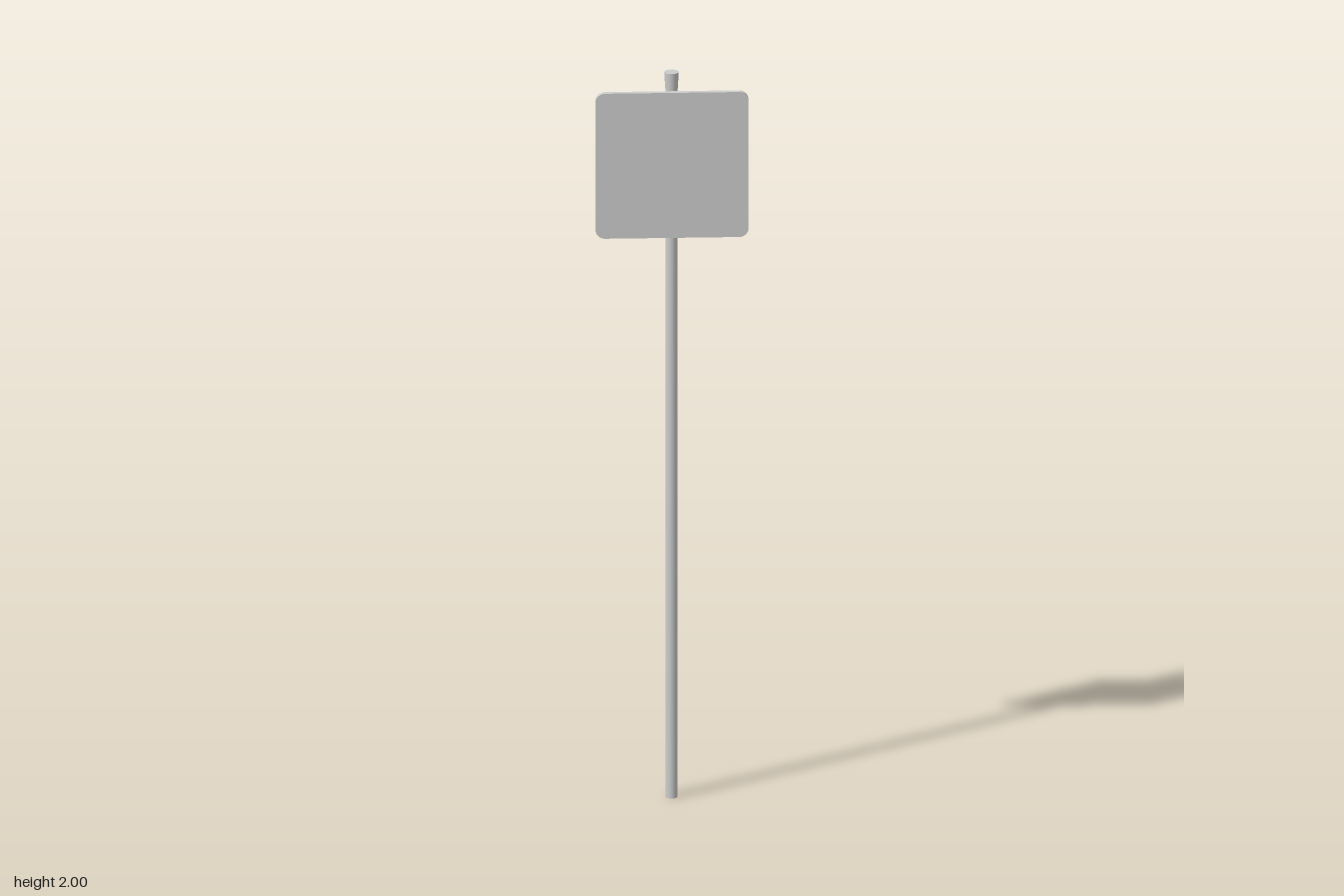
import * as THREE from 'three';

const POLE_Z = -0.011;
const POLE_R = 0.016;
const PLATE_BACK = 0.014;
const grey = new THREE.MeshStandardMaterial({ color: 0xcccccc });

function add(parent, name, geometry, x = 0, y = 0, z = 0) {
  const mesh = new THREE.Mesh(geometry, grey);
  mesh.name = name;
  mesh.position.set(x, y, z);
  parent.add(mesh);
  return mesh;
}

// Square with rounded corners, centred on the origin
function roundedSquare(half, r) {
  const s = new THREE.Shape();
  const c = half - r;
  s.absarc(c, c, r, 0, Math.PI / 2);
  s.absarc(-c, c, r, Math.PI / 2, Math.PI);
  s.absarc(-c, -c, r, Math.PI, Math.PI * 1.5);
  s.absarc(c, -c, r, Math.PI * 1.5, Math.PI * 2);
  s.closePath();
  return s;
}

// Strap seen from above: a band round the back of the pole, with legs
// splaying out to the plate. Shape y is world -z.
function strapShape() {
  const outer = 0.0188, inner = POLE_R - 0.0005;
  const a = -0.35; // angle where the legs leave the pole
  const s = new THREE.Shape();
  s.moveTo(0.03, -PLATE_BACK);
  s.absarc(0, -POLE_Z, outer, a, Math.PI - a, false);
  s.lineTo(-0.03, -PLATE_BACK);
  s.lineTo(-0.0265, -PLATE_BACK);
  s.absarc(0, -POLE_Z, inner, Math.PI - a, a, true);
  s.lineTo(0.0265, -PLATE_BACK);
  s.closePath();
  return s;
}

// Clamp: flat strip on the plate plus the strap round the pole
function createClamp(y) {
  const clamp = new THREE.Group();
  clamp.name = 'clamp';
  const height = 0.04;
  add(clamp, 'clampStrip', new THREE.BoxGeometry(0.19, height, 0.003), 0, 0, PLATE_BACK - 0.001);
  const strap = new THREE.ExtrudeGeometry(strapShape(), {
    depth: height, bevelEnabled: false, curveSegments: 20,
  });
  strap.translate(0, 0, -height / 2);
  strap.rotateX(-Math.PI / 2);
  add(clamp, 'clampStrap', strap);
  clamp.position.y = y;
  return clamp;
}

export function createModel() {
  const model = new THREE.Group();
  model.name = 'signPost';

  // Pole
  add(model, 'pole', new THREE.CylinderGeometry(POLE_R, POLE_R, 1.98, 24), 0, 0.99, POLE_Z);

  // Cap, tapering slightly down to the pole
  add(model, 'poleCap', new THREE.CylinderGeometry(0.019, 0.0165, 0.045, 24), 0, 1.9775, POLE_Z);

  // Sign plate
  const plate = new THREE.ExtrudeGeometry(roundedSquare(0.2, 0.025), {
    depth: 0.014, bevelEnabled: false, curveSegments: 8,
  });
  add(model, 'signPlate', plate, 0, 1.755, PLATE_BACK);

  // Two clamps behind the plate
  for (const y of [1.88, 1.635]) model.add(createClamp(y));

  return model;
}
